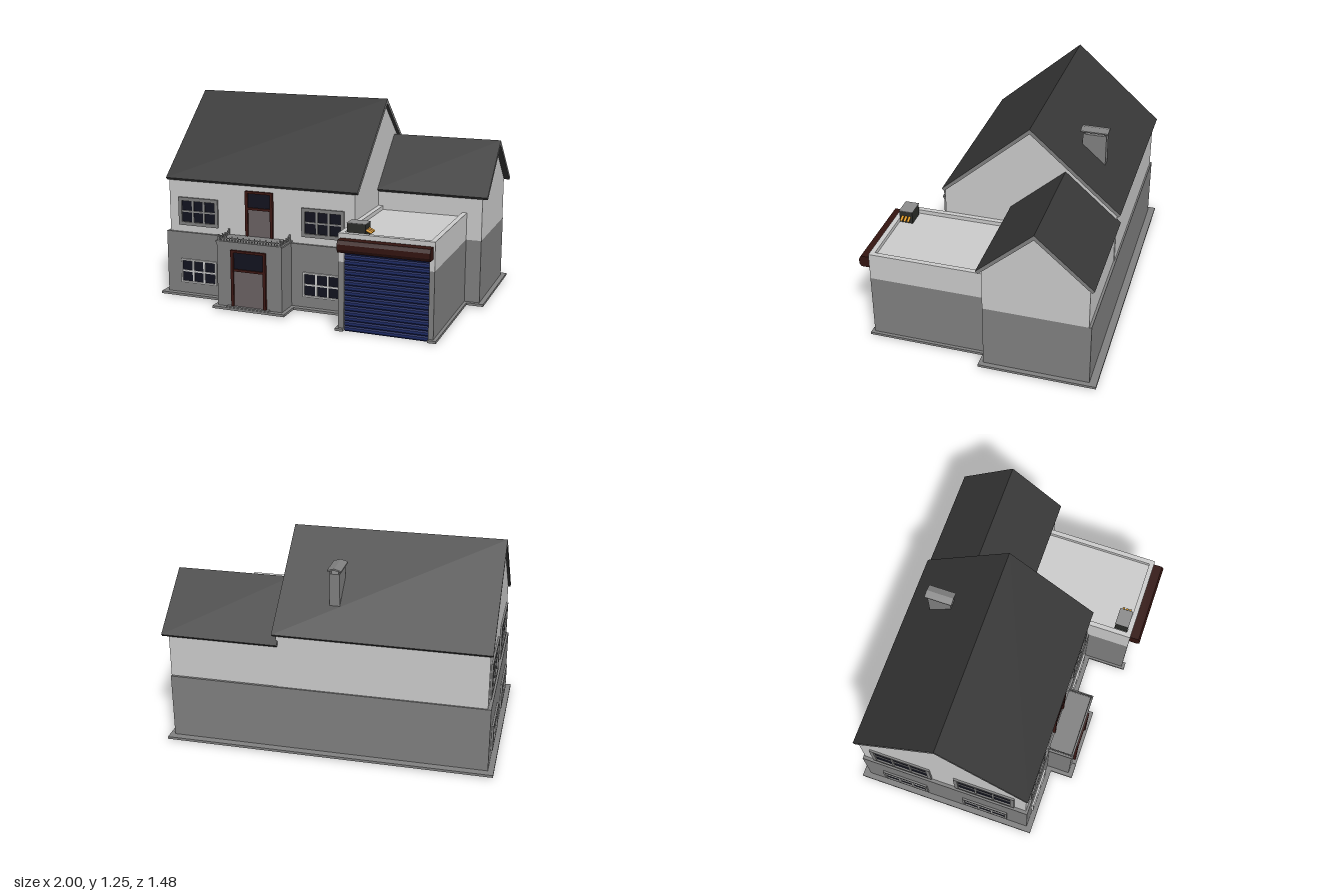
import * as THREE from 'three';

const mat = (color) => new THREE.MeshStandardMaterial({ color });
const LIGHT = mat(0xcccccc), STONE = mat(0x808080), TRIM = mat(0x8c8c8c), ROOF = mat(0x383838);
const GLASS = mat(0x12131f), WOOD = mat(0x3d1713), PANEL = mat(0x6b6264), BLUE = mat(0x1e2b66);
const BROWN = mat(0x331410), BLACK = mat(0x2c2d2a), AMBER = mat(0xe09a20);

function add(parent, name, geo, material) {
  const m = new THREE.Mesh(geo, material);
  m.name = name;
  parent.add(m);
  return m;
}

// Box given by its limits on each axis
function box(parent, name, material, x0, x1, y0, y1, z0, z1) {
  const m = add(parent, name, new THREE.BoxGeometry(x1 - x0, y1 - y0, z1 - z0), material);
  m.position.set((x0 + x1) / 2, (y0 + y1) / 2, (z0 + z1) / 2);
  return m;
}

const shapeOf = (pts) => new THREE.Shape(pts.map(([a, b]) => new THREE.Vector2(a, b)));

// Extrude a [z, y] outline along x from x0 to x1
function prism(parent, name, material, pts, x0, x1) {
  const geo = new THREE.ExtrudeGeometry(shapeOf(pts.map(([z, y]) => [-z, y])), { depth: x1 - x0, bevelEnabled: false });
  geo.rotateY(Math.PI / 2);
  geo.translate(x0, 0, 0);
  return add(parent, name, geo, material);
}

// Gabled upper storey
function gable(parent, name, x0, x1, zb, zf, y0, eave, apex) {
  return prism(parent, name, LIGHT, [[zb, y0], [zf, y0], [zf, eave], [(zb + zf) / 2, apex], [zb, eave]], x0, x1);
}

// Pitched roof slab with pale verge ends
function roof(parent, name, x0, x1, zb, zr, zf, eave, ridge) {
  const t = 0.03;
  const pts = [[zb, eave], [zb + 0.015, eave - 0.015], [zr, ridge - t], [zf - 0.015, eave - 0.015], [zf, eave], [zr, ridge]];
  return prism(parent, name, [STONE, ROOF], pts, x0, x1);
}

// Six-pane window, built facing +z around its centre
function windowUnit(parent, name, w, h, frame, material, surround) {
  const g = new THREE.Group();
  g.name = name;
  const a = w / 2, b = h / 2, f = frame;
  box(g, 'glass', GLASS, -a + f / 2, a - f / 2, -b + f / 2, b - f / 2, -0.01, 0.002);
  for (const s of [-1, 1]) {
    box(g, 'frameSide', surround, s * (a - f / 2) - f / 2, s * (a - f / 2) + f / 2, -b, b, -0.01, 0.012);
    box(g, 'frameRail', surround, -a + f, a - f, s * (b - f / 2) - f / 2, s * (b - f / 2) + f / 2, -0.01, 0.012);
    const x = s * (a - f) / 3;
    box(g, 'mullion', material, x - 0.006, x + 0.006, -b + f, b - f, -0.005, 0.008);
  }
  box(g, 'transom', material, -a + f, a - f, -0.005, 0.005, -0.005, 0.0075);
  parent.add(g);
  return g;
}

// Door with a glazed light above the panel
function door(parent, name, x0, x1, y0, y1, split, z) {
  const g = new THREE.Group();
  g.name = name;
  const f = 0.018;
  for (const [a, b] of [[x0, x0 + f], [x1 - f, x1]]) box(g, 'jamb', WOOD, a, b, y0, y1, z - 0.01, z + 0.014);
  box(g, 'head', WOOD, x0 + f, x1 - f, y1 - 0.014, y1, z - 0.01, z + 0.014);
  box(g, 'middleRail', WOOD, x0 + f, x1 - f, split - 0.007, split + 0.007, z - 0.01, z + 0.012);
  box(g, 'fanlight', GLASS, x0 + f, x1 - f, split + 0.007, y1 - 0.014, z - 0.01, z + 0.003);
  box(g, 'panel', PANEL, x0 + f, x1 - f, y0, split - 0.007, z - 0.01, z + 0.004);
  parent.add(g);
}

export function createModel() {
  const house = new THREE.Group();
  house.name = 'house';

  // Ground plinth following the footprint, notched at the garage door
  const outline = [[-1, -0.74], [0.995, -0.74], [0.995, -0.03], [0.89, -0.03], [0.89, 0.69], [0.84, 0.69],
    [0.84, 0.65], [0.335, 0.65], [0.335, 0.69], [0.285, 0.69], [0.285, 0.44], [-0.08, 0.44],
    [-0.08, 0.585], [-0.56, 0.585], [-0.56, 0.44], [-1, 0.44]];
  const base = new THREE.ExtrudeGeometry(shapeOf(outline.map(([x, z]) => [x, -z])), { depth: 0.015, bevelEnabled: false });
  base.rotateX(-Math.PI / 2);
  base.translate(0, 0.007, 0);
  add(house, 'plinth', base, STONE);

  // Ground floor walls
  box(house, 'mainLowerWalls', STONE, -0.965, 0.3, 0.02, 0.42, -0.695, 0.405);
  box(house, 'sideLowerWalls', STONE, 0.3, 0.965, 0.02, 0.42, -0.695, -0.055);

  // Upper storeys and roofs
  gable(house, 'mainUpperWalls', -0.945, 0.3, -0.685, 0.39, 0.42, 0.755, 1.232);
  gable(house, 'sideUpperWalls', 0.3, 0.965, -0.68, -0.055, 0.42, 0.69, 0.972);
  roof(house, 'mainRoof', -0.96, 0.32, -0.71, -0.152, 0.405, 0.765, 1.255);
  roof(house, 'sideRoof', 0.29, 1, -0.71, -0.367, -0.03, 0.698, 0.998);

  // Chimney with a small folded cap on posts
  const chimney = new THREE.Group();
  chimney.name = 'chimney';
  box(chimney, 'stack', STONE, -0.05, 0.01, 0.8, 1.105, -0.545, -0.4);
  for (const x of [-0.046, 0.006]) for (const z of [-0.535, -0.41])
    box(chimney, 'capPost', STONE, x - 0.004, x + 0.004, 1.1, 1.13, z - 0.004, z + 0.004);
  const cap = new THREE.ExtrudeGeometry(
    shapeOf([[-0.062, 1.122], [-0.02, 1.132], [0.022, 1.122], [0.022, 1.13], [-0.02, 1.142], [-0.062, 1.13]]),
    { depth: 0.17, bevelEnabled: false });
  cap.translate(0, 0, -0.557);
  add(chimney, 'chimneyCap', cap, STONE);
  house.add(chimney);

  // Garage: body, front piers, lintel and parapet round the flat roof
  const garage = new THREE.Group();
  garage.name = 'garage';
  box(garage, 'lowerWalls', STONE, 0.3, 0.87, 0.02, 0.42, -0.055, 0.645);
  box(garage, 'upperWalls', LIGHT, 0.3, 0.87, 0.42, 0.565, -0.055, 0.645);
  for (const [x0, x1] of [[0.3, 0.335], [0.84, 0.87]]) {
    box(garage, 'pierBase', STONE, x0, x1, 0.02, 0.42, 0.645, 0.67);
    box(garage, 'pierTop', LIGHT, x0, x1, 0.42, 0.565, 0.645, 0.67);
    box(garage, 'sideParapet', LIGHT, x0, x0 + 0.03, 0.565, 0.59, -0.055, 0.64);
  }
  box(garage, 'lintel', LIGHT, 0.335, 0.84, 0.49, 0.565, 0.645, 0.67);
  box(garage, 'frontParapet', LIGHT, 0.3, 0.87, 0.565, 0.59, 0.64, 0.67);

  // Ribbed roller door and its housing
  const n = 16, slat = 0.49 / n, profile = [[0.64, 0]];
  for (let i = 0; i < n; i++) profile.push([0.652, i * slat], [0.66, (i + 0.3) * slat], [0.66, (i + 0.8) * slat]);
  profile.push([0.652, 0.49], [0.64, 0.49]);
  prism(garage, 'rollerDoor', BLUE, profile, 0.335, 0.84);
  prism(garage, 'shutterHousing', BROWN,
    [[0.665, 0.49], [0.725, 0.49], [0.737, 0.51], [0.737, 0.54], [0.725, 0.562], [0.665, 0.562]], 0.315, 0.86);

  // Alarm box with three amber lamps
  box(garage, 'alarmBox', BLACK, 0.342, 0.453, 0.565, 0.642, 0.555, 0.638);
  box(garage, 'alarmLid', TRIM, 0.34, 0.455, 0.642, 0.645, 0.553, 0.64);
  for (const z of [0.574, 0.596, 0.618]) {
    const lamp = add(garage, 'alarmLamp', new THREE.CapsuleGeometry(0.008, 0.03, 4, 10), AMBER);
    lamp.position.set(0.465, 0.601, z);
    lamp.rotation.z = 1.2;
  }
  house.add(garage);

  // Porch with entrance door and step
  const porch = new THREE.Group();
  porch.name = 'porch';
  box(porch, 'porchWalls', STONE, -0.535, -0.105, 0.02, 0.425, 0.4, 0.555);
  box(porch, 'porchCornice', STONE, -0.54, -0.1, 0.425, 0.435, 0.4, 0.562);
  box(porch, 'doorStep', STONE, -0.465, -0.185, 0.02, 0.03, 0.55, 0.58);
  door(porch, 'entranceDoor', -0.437, -0.205, 0.028, 0.385, 0.26, 0.557);

  // Balcony railing on three sides
  const post = (x, z, r, h) => box(porch, 'baluster', TRIM, x - r, x + r, 0.435, 0.435 + h, z - r, z + r);
  for (let i = 0; i <= 22; i++) post(-0.525 + i * 0.41 / 22, 0.55, 0.0025, 0.022 + (i % 2) * 0.008);
  box(porch, 'frontRail', TRIM, -0.525, -0.115, 0.45, 0.455, 0.547, 0.553);
  for (const x of [-0.525, -0.115]) {
    for (let i = 0; i < 8; i++) post(x, 0.41 + i * 0.0175, 0.0025, 0.022 + (i % 2) * 0.008);
    box(porch, 'sideRail', TRIM, x - 0.003, x + 0.003, 0.45, 0.455, 0.4, 0.55);
    post(x, 0.55, 0.005, 0.036);
    post(x, 0.405, 0.005, 0.036);
  }
  house.add(porch);
  door(house, 'balconyDoor', -0.413, -0.228, 0.43, 0.72, 0.61, 0.392);

  // Front windows
  for (const x of [-0.742, 0.098]) {
    windowUnit(house, 'upperFrontWindow', 0.275, 0.18, 0.022, TRIM, STONE).position.set(x, 0.555, 0.39);
    windowUnit(house, 'lowerFrontWindow', 0.25, 0.155, 0.01, LIGHT, LIGHT).position.set(x, 0.168, 0.405);
  }

  // Windows on the end wall
  for (const z of [-0.425, 0.12]) {
    const up = windowUnit(house, 'upperEndWindow', 0.39, 0.225, 0.024, TRIM, STONE);
    up.position.set(-0.945, 0.558, z);
    const low = windowUnit(house, 'lowerEndWindow', 0.3, 0.165, 0.014, LIGHT, STONE);
    low.position.set(-0.965, 0.168, z);
    up.rotation.y = low.rotation.y = -Math.PI / 2;
  }
  return house;
}
